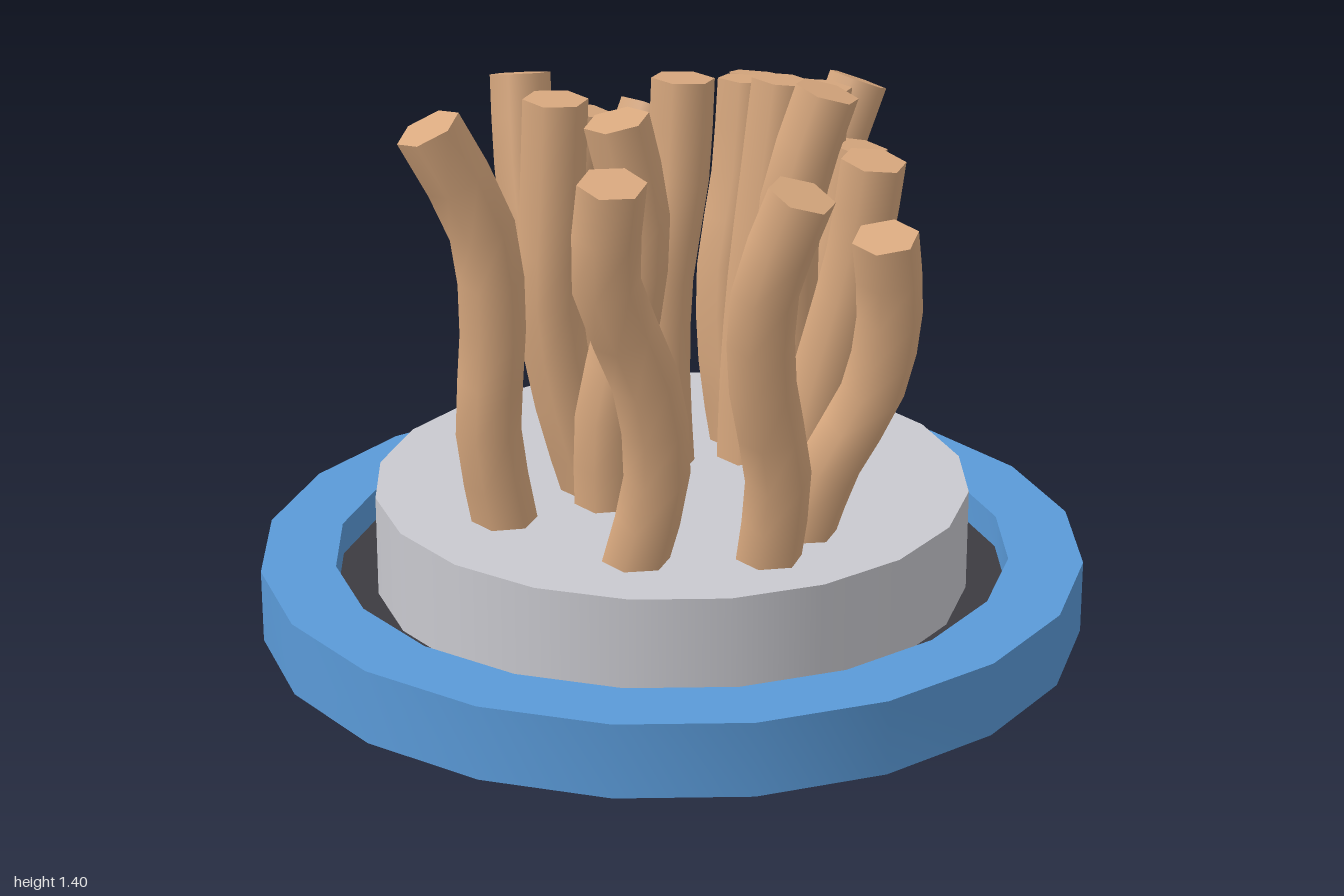
import * as THREE from 'three';
import { toCreasedNormals } from 'three/addons/utils/BufferGeometryUtils.js';

const mat = (name, color) => new THREE.MeshStandardMaterial({ name, color });
const SIDES = 20;
const STALK_RADIUS = 0.077;
const STALK_BOTTOM = 0.35;

// Each stalk: tip z, tip y, then x at five evenly spaced heights from root to tip
const STALKS = [
  [-0.77, 1.08, 0.05, 0.05, -0.01, 0.01, 0.085],
  [-0.68, 1.21, -0.13, -0.16, -0.24, -0.26, -0.26],
  [-0.42, 1.01, -0.1, -0.07, -0.08, -0.14, -0.18],
  [-0.42, 1.25, 0.25, 0.22, 0.22, 0.27, 0.30],
  [-0.40, 1.23, 0.37, 0.37, 0.39, 0.46, 0.545],
  [-0.315, 1.27, 0.22, 0.19, 0.19, 0.23, 0.25],
  [-0.125, 1.27, -0.09, -0.13, -0.21, -0.23, -0.19],
  [-0.145, 1.33, 0.00, -0.01, 0.00, 0.04, 0.055],
  [-0.155, 1.31, 0.21, 0.22, 0.24, 0.27, 0.30],
  [-0.12, 1.30, 0.36, 0.37, 0.35, 0.36, 0.385],
  [-0.075, 1.16, 0.30, 0.31, 0.36, 0.43, 0.465],
  [0.045, 1.35, -0.19, -0.26, -0.30, -0.29, -0.28],
  [0.175, 1.33, -0.18, -0.18, -0.13, -0.11, -0.16],
  [0.26, 1.36, -0.43, -0.47, -0.458, -0.48, -0.60],
  [0.20, 1.38, 0.28, 0.27, 0.24, 0.25, 0.325],
  [0.33, 1.25, 0.26, 0.28, 0.33, 0.38, 0.405],
  [0.55, 1.14, 0.235, 0.29, 0.38, 0.405, 0.38],
  [0.675, 1.34, -0.175, -0.13, -0.165, -0.26, -0.255],
  [0.735, 1.31, 0.13, 0.14, 0.09, 0.08, 0.147],
];

// Hexagonal cylinder bent along a wavy path, leaning outward in z
function stalkGeometry([tipZ, tipY, ...xs]) {
  const curve = new THREE.CatmullRomCurve3(xs.map((x, i) => {
    const t = i / (xs.length - 1);
    return new THREE.Vector3(x,
      THREE.MathUtils.lerp(STALK_BOTTOM, tipY, t),
      THREE.MathUtils.lerp(tipZ * 0.69, tipZ, t));
  }));
  const geo = new THREE.CylinderGeometry(STALK_RADIUS, STALK_RADIUS, 1, 6, 8);
  geo.rotateY(Math.PI / 2);
  const pos = geo.attributes.position;
  const nor = geo.attributes.normal;
  const p = new THREE.Vector3(), n = new THREE.Vector3();
  const frame = new THREE.Matrix4();
  for (let i = 0; i < pos.count; i++) {
    p.fromBufferAttribute(pos, i);
    n.fromBufferAttribute(nor, i);
    const t = THREE.MathUtils.clamp(p.y + 0.5, 0, 1);
    const along = curve.getTangent(t);
    const side = new THREE.Vector3(along.y, -along.x, 0).normalize();
    frame.makeBasis(side, along, side.clone().cross(along));
    p.setY(0).applyMatrix4(frame).add(curve.getPoint(t));
    n.applyMatrix4(frame);
    pos.setXYZ(i, p.x, p.y, p.z);
    nor.setXYZ(i, n.x, n.y, n.z);
  }
  return geo;
}

export function createModel() {
  const model = new THREE.Group();
  const blue = mat('blue', 0x5a9ad8);
  const grey = mat('light grey', 0xc9c9cf);
  const dark = mat('charcoal', 0x3c3b41);
  const tan = mat('tan', 0xd9a97f);

  const add = (name, geo, material, parent = model) => {
    const mesh = new THREE.Mesh(geo, material);
    mesh.name = name;
    parent.add(mesh);
    return mesh;
  };
  const disc = (name, r, y0, y1, material) => {
    const geo = new THREE.CylinderGeometry(r, r, y1 - y0, SIDES);
    add(name, geo.translate(0, (y0 + y1) / 2, 0), material);
  };

  // Base plate, recessed floor and raised pedestal
  disc('basePlate', 0.86, 0, 0.025, dark);
  disc('recessedFloor', 0.84, 0.02, 0.12, dark);
  disc('pedestal', 0.72, 0.1, 0.37, grey);

  // Outer ring with a square section
  const section = [[0.82, 0.02], [1, 0.02], [1, 0.2], [0.82, 0.2], [0.82, 0.02]]
    .map(([r, y]) => new THREE.Vector2(r, y));
  add('outerRing', toCreasedNormals(new THREE.LatheGeometry(section, SIDES), 0.6), blue);

  // Cluster of wavy stalks
  const stalks = new THREE.Group();
  stalks.name = 'stalks';
  STALKS.forEach((s) => add('stalk', stalkGeometry(s), tan, stalks));
  model.add(stalks);

  return model;
}
